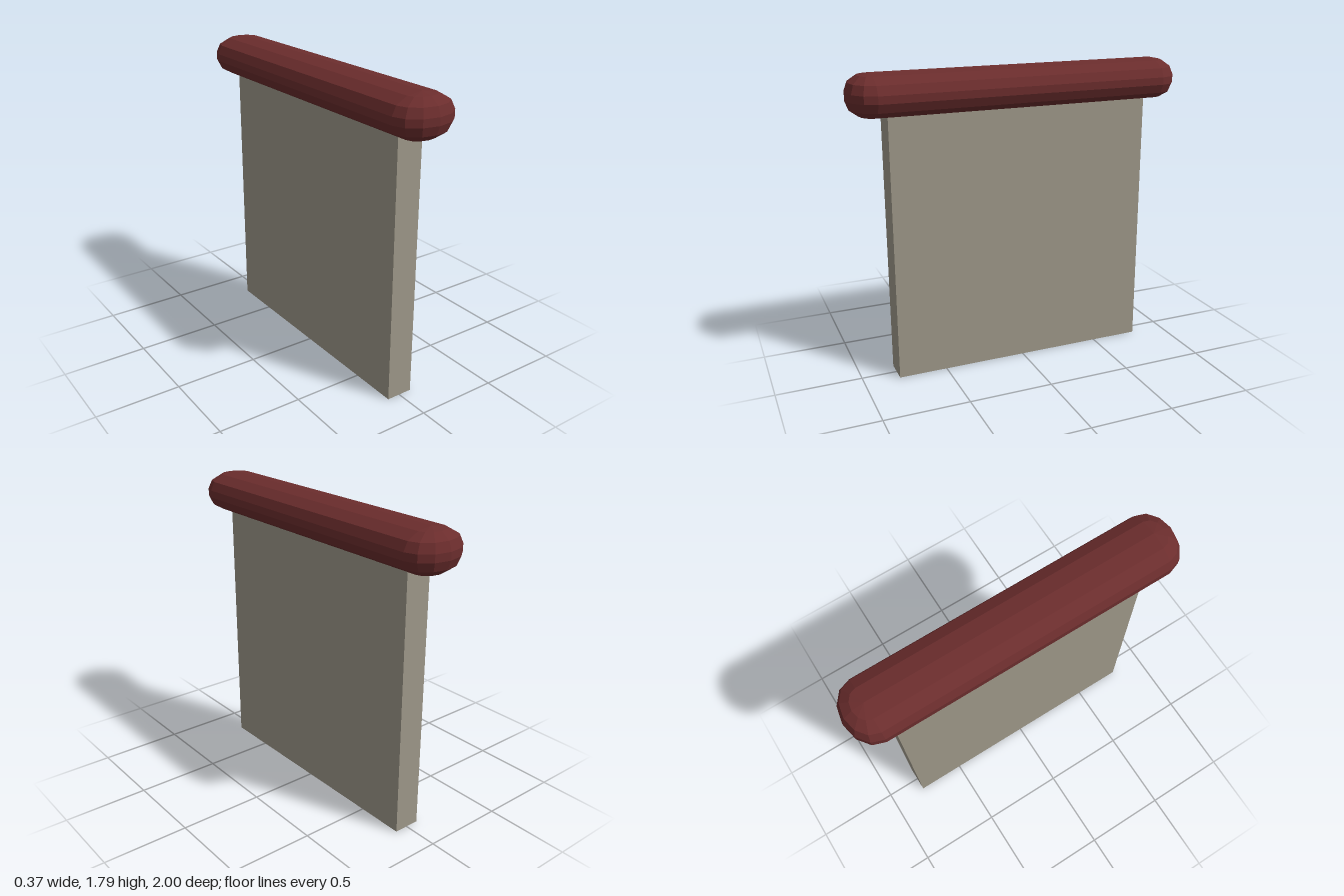
import * as THREE from 'three';
import { ConvexGeometry } from 'three/addons/geometries/ConvexGeometry.js';

// Faceted rounded bar: a 12-sided ellipsoid split along y and z
function roundedBar(radius, straight) {
  const points = [];
  const step = Math.PI / 6;
  for (const sy of [-1, 1]) {
    for (const sz of [-1, 1]) {
      for (let ring = 0; ring <= 3; ring++) {
        const r = Math.cos(ring * step);
        const y = sy * (straight.y + radius.y * Math.sin(ring * step));
        const count = ring === 3 ? 0 : 6; // the last ring is the pole
        for (let i = 0; i <= count; i++) {
          const a = i * step;
          const x = count ? radius.x * r * Math.cos(a) : 0;
          const z = count ? radius.z * r * Math.sin(a) : 0;
          points.push(new THREE.Vector3(x, y, sz * (straight.z + z)));
        }
      }
    }
  }
  return new ConvexGeometry(points);
}

export function createModel() {
  const group = new THREE.Group();
  group.name = 'wallWithCoping';

  // Upright slab, its top hidden inside the coping
  const wall = new THREE.Mesh(
    new THREE.BoxGeometry(0.16, 1.6, 1.58),
    new THREE.MeshStandardMaterial({ color: 0x9e9889, flatShading: true })
  );
  wall.name = 'wall';
  wall.position.y = 0.8;
  group.add(wall);

  // Rounded coping along the top
  const coping = new THREE.Mesh(
    roundedBar(new THREE.Vector3(0.185, 0.102, 0.14), new THREE.Vector3(0, 0.022, 0.86)),
    new THREE.MeshStandardMaterial({ color: 0x6b2d2d, flatShading: true })
  );
  coping.name = 'coping';
  coping.position.y = 1.67;
  group.add(coping);

  return group;
}
